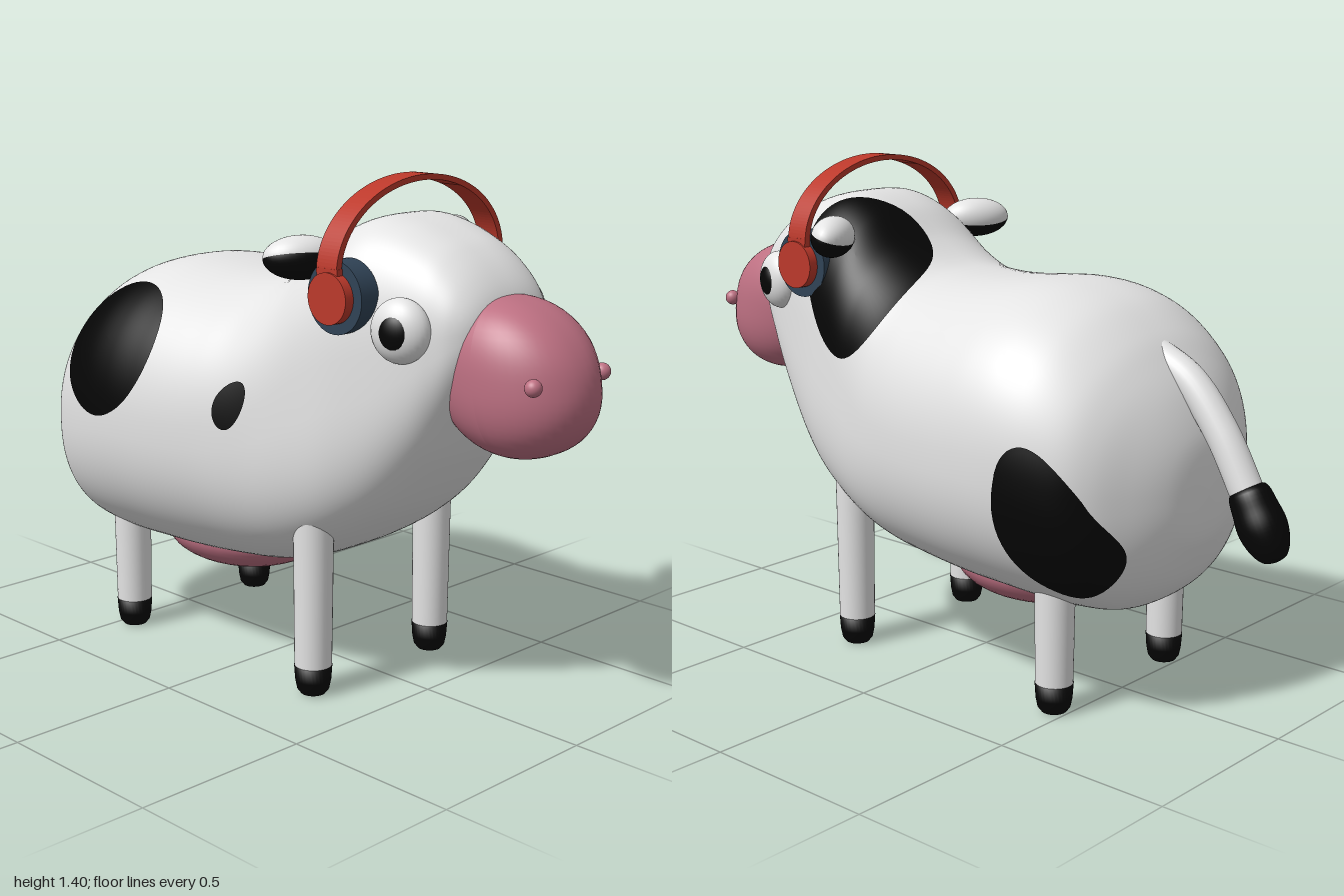
import * as THREE from 'three';

const mat = (name, color) => Object.assign(new THREE.MeshStandardMaterial({ color }), { name });

// Body sections: z, top, bottom, half width, corner power (lower is squarer), widening towards the belly
const SECTIONS = [
  [-0.765, 0.62, 0.6, 0, 0.87, 0], [-0.757, 0.72, 0.5, 0.1, 0.87, 0], [-0.738, 0.79, 0.44, 0.175, 0.87, 0],
  [-0.7, 0.87, 0.36, 0.26, 0.87, 0], [-0.65, 0.94, 0.305, 0.345, 0.87, 0], [-0.59, 1.005, 0.272, 0.4, 0.87, 0],
  [-0.5, 1.07, 0.263, 0.437, 0.87, 0], [-0.4, 1.105, 0.263, 0.457, 0.87, 0], [-0.3, 1.115, 0.267, 0.462, 0.87, 0],
  [-0.2, 1.108, 0.27, 0.457, 0.87, 0], [-0.1, 1.1, 0.276, 0.446, 0.87, 0], [0, 1.1, 0.286, 0.428, 0.86, 0.01],
  [0.1, 1.115, 0.302, 0.403, 0.83, 0.04], [0.2, 1.17, 0.335, 0.37, 0.76, 0.08], [0.3, 1.255, 0.385, 0.338, 0.69, 0.1],
  [0.4, 1.295, 0.45, 0.308, 0.65, 0.1], [0.5, 1.285, 0.535, 0.272, 0.65, 0.07], [0.6, 1.25, 0.66, 0.236, 0.68, 0.03],
  [0.66, 1.215, 0.76, 0.213, 0.72, 0], [0.71, 1.17, 0.86, 0.187, 0.76, 0], [0.745, 1.12, 0.94, 0.145, 0.8, 0],
  [0.765, 1.06, 0.99, 0.08, 0.85, 0], [0.77, 1.03, 1.02, 0, 0.87, 0],
];
const spline = (a, b, c) => new THREE.CatmullRomCurve3(
  SECTIONS.map(s => new THREE.Vector3(s[a], s[b], s[c])), false, 'catmullrom');
const heights = spline(0, 1, 2);
const widths = spline(3, 4, 5);

const power = (v, p) => Math.sign(v) * Math.abs(v) ** p;

// Point on the body: u runs tail to head, a is the angle from the top towards +x
function bodyPoint(u, a) {
  const h = heights.getPoint(u), w = widths.getPoint(u);
  const rise = power(Math.cos(a), w.y);
  return new THREE.Vector3(
    Math.max(0, w.x) * power(Math.sin(a), w.y) * (1 - w.z * rise),
    (h.y + h.z) / 2 + (h.y - h.z) / 2 * rise,
    h.x);
}

function uAtZ(z) {
  let lo = 0, hi = 1;
  for (let i = 0; i < 30; i++) {
    const mid = (lo + hi) / 2;
    if (heights.getPoint(mid).x < z) lo = mid; else hi = mid;
  }
  return lo;
}

// Surface from a rule, closed around its second direction
function loopSurface(rows, cols, rule) {
  const pos = [], index = [];
  for (let i = 0; i <= rows; i++) {
    for (let j = 0; j < cols; j++) {
      pos.push(...rule(i / rows, j / cols * Math.PI * 2).toArray());
      if (i === rows) continue;
      const k = (j + 1) % cols, a = i * cols + j, b = a + cols, c = i * cols + k, d = c + cols;
      index.push(a, b, c, b, d, c);
    }
  }
  const g = new THREE.BufferGeometry();
  g.setAttribute('position', new THREE.Float32BufferAttribute(pos, 3));
  g.setIndex(index);
  g.computeVertexNormals();
  return g;
}

// Patch lying just above the body surface; angles in degrees
function spotGeometry(z, angle, rz, ra, shear = 0) {
  const rad = Math.PI / 180, e = 0.002;
  return loopSurface(16, 60, (r, t) => {
    const dz = rz * r * Math.cos(t);
    const a = (angle + ra * r * Math.sin(t) + shear * dz) * rad;
    const u = uAtZ(z + dz);
    const p = bodyPoint(u, a);
    const du = bodyPoint(u + e, a).sub(bodyPoint(u - e, a));
    const da = bodyPoint(u, a + e).sub(bodyPoint(u, a - e));
    return p.addScaledVector(du.cross(da).normalize(), 0.005);
  });
}

export function createModel() {
  const root = new THREE.Group();
  root.name = 'cow';
  const white = mat('white hide', 0xe4e4e4);
  const black = mat('black', 0x050505);
  const pink = mat('pink skin', 0xbd7082);
  const red = mat('red plastic', 0xbc392b);
  const blue = mat('dark blue padding', 0x304356);

  const add = (name, geo, material, pos = [0, 0, 0], parent = root) => {
    const m = new THREE.Mesh(geo, material);
    m.name = name;
    m.position.set(...pos);
    parent.add(m);
    return m;
  };
  const ball = (name, material, pos, scale, parent) => {
    const m = add(name, new THREE.SphereGeometry(1, 32, 24), material, pos, parent);
    m.scale.set(...scale);
    return m;
  };

  // Body with head, and its spots
  add('body', loopSurface(140, 112, bodyPoint), white);
  add('neckSpot', spotGeometry(0.268, 43, 0.188, 41, 45), black);
  add('leftRearSpot', spotGeometry(-0.557, 107, 0.135, 28, -55), black);
  add('rightFlankSpot', spotGeometry(-0.34, -61, 0.185, 28), black);
  add('rightShoulderSpot', spotGeometry(0.13, -82, 0.047, 7), black);

  // Snout: squared seen from the front, leaning back at the top
  const snout = new THREE.SphereGeometry(1, 48, 32);
  const p = snout.attributes.position;
  for (let i = 0; i < p.count; i++) {
    const x = p.getX(i), y = p.getY(i), z = p.getZ(i);
    const r = Math.hypot(x, y) || 1;
    const k = (Math.abs(x / r) ** 2.5 + Math.abs(y / r) ** 2.5) ** (-1 / 2.5) || 1;
    const k1 = Number.isFinite(k) ? k : 1;
    p.setXYZ(i, x * k1 * 0.177, y * k1 * 0.2, z * 0.222 - y * 0.03);
  }
  snout.computeVertexNormals();
  add('snout', snout, pink, [0, 0.92, 0.775]);
  ball('udder', pink, [0, 0.316, -0.215], [0.23, 0.111, 0.26]);

  // Parts on both sides
  for (const s of [1, -1]) {
    const side = s > 0 ? 'left' : 'right';
    ball(side + 'Nostril', pink, [s * 0.137, 0.935, 0.932], [0.022, 0.022, 0.022]);

    // Eye
    const eye = new THREE.Group();
    eye.name = side + 'Eye';
    eye.position.set(s * 0.235, 1.04, 0.595);
    eye.rotation.y = -s * 0.25;
    root.add(eye);
    ball('eyeball', white, [0, 0, 0], [0.053, 0.083, 0.08], eye);
    ball('pupil', black, [s * 0.031, 0, 0], [0.026, 0.05, 0.046], eye);

    // Ear: white above, black underneath
    const ear = new THREE.Group();
    ear.name = side + 'Ear';
    ear.position.set(s * 0.293, 1.197, 0.305);
    ear.rotation.set(-0.35, s * 0.53, 0, 'YXZ');
    ear.scale.set(0.1, 0.057, 0.057);
    root.add(ear);
    const half = Math.PI / 2;
    add('earBack', new THREE.SphereGeometry(1, 32, 12, 0, Math.PI * 2, 0, half), white, [0, 0, 0], ear);
    add('earInside', new THREE.SphereGeometry(1, 32, 12, 0, Math.PI * 2, half, half), black, [0, 0, 0], ear);

    // Legs and hooves
    for (const [name, x, z, top] of [['Front', 0.237, 0.295, 0.51], ['Rear', 0.245, -0.46, 0.46]]) {
      add(side + name + 'Leg', new THREE.CylinderGeometry(0.055, 0.051, top - 0.08, 32), white,
        [s * x, (top + 0.08) / 2, z]);
      const hoof = [[0, 0], [0.034, 0.002], [0.044, 0.015], [0.049, 0.04], [0.052, 0.082], [0, 0.082]];
      add(side + name + 'Hoof', new THREE.LatheGeometry(hoof.map(q => new THREE.Vector2(...q)), 32), black,
        [s * x, 0, z]);
    }

    // Ear cup
    add(side + 'Cushion', new THREE.CylinderGeometry(0.094, 0.094, 0.062, 40), blue,
      [s * 0.269, 1.11, 0.43]).rotation.z = Math.PI / 2;
    add(side + 'CupCover', new THREE.CylinderGeometry(0.066, 0.066, 0.03, 40), red,
      [s * 0.313, 1.11, 0.43]).rotation.z = Math.PI / 2;
    add(side + 'BandArm', new THREE.BoxGeometry(0.02, 0.09, 0.07), red, [s * 0.312, 1.14, 0.425]);
  }

  // Headphone band
  const band = new THREE.Shape();
  band.absellipse(0, 0, 0.322, 0.225, 0, Math.PI, false);
  band.absellipse(0, 0, 0.304, 0.21, Math.PI, 0, true);
  add('headphoneBand', new THREE.ExtrudeGeometry(band, { depth: 0.07, bevelEnabled: false, curveSegments: 40 }),
    red, [0, 1.172, 0.388]);

  // Tail with dark tuft
  const path = new THREE.CatmullRomCurve3([[0.95, -0.58], [0.89, -0.695], [0.775, -0.795], [0.62, -0.885]]
    .map(([y, z]) => new THREE.Vector3(0, y, z)));
  add('tail', new THREE.TubeGeometry(path, 24, 0.045, 24), white);
  const tuft = [[0, -0.1], [0.03, -0.092], [0.052, -0.06], [0.064, -0.01], [0.06, 0.04], [0.048, 0.095], [0, 0.1]];
  const curve = new THREE.SplineCurve(tuft.map(q => new THREE.Vector2(...q)));
  add('tailTuft', new THREE.LatheGeometry(curve.getPoints(30), 32), black, [0, 0.555, -0.925]).rotation.x = 0.5;
  return root;
}
